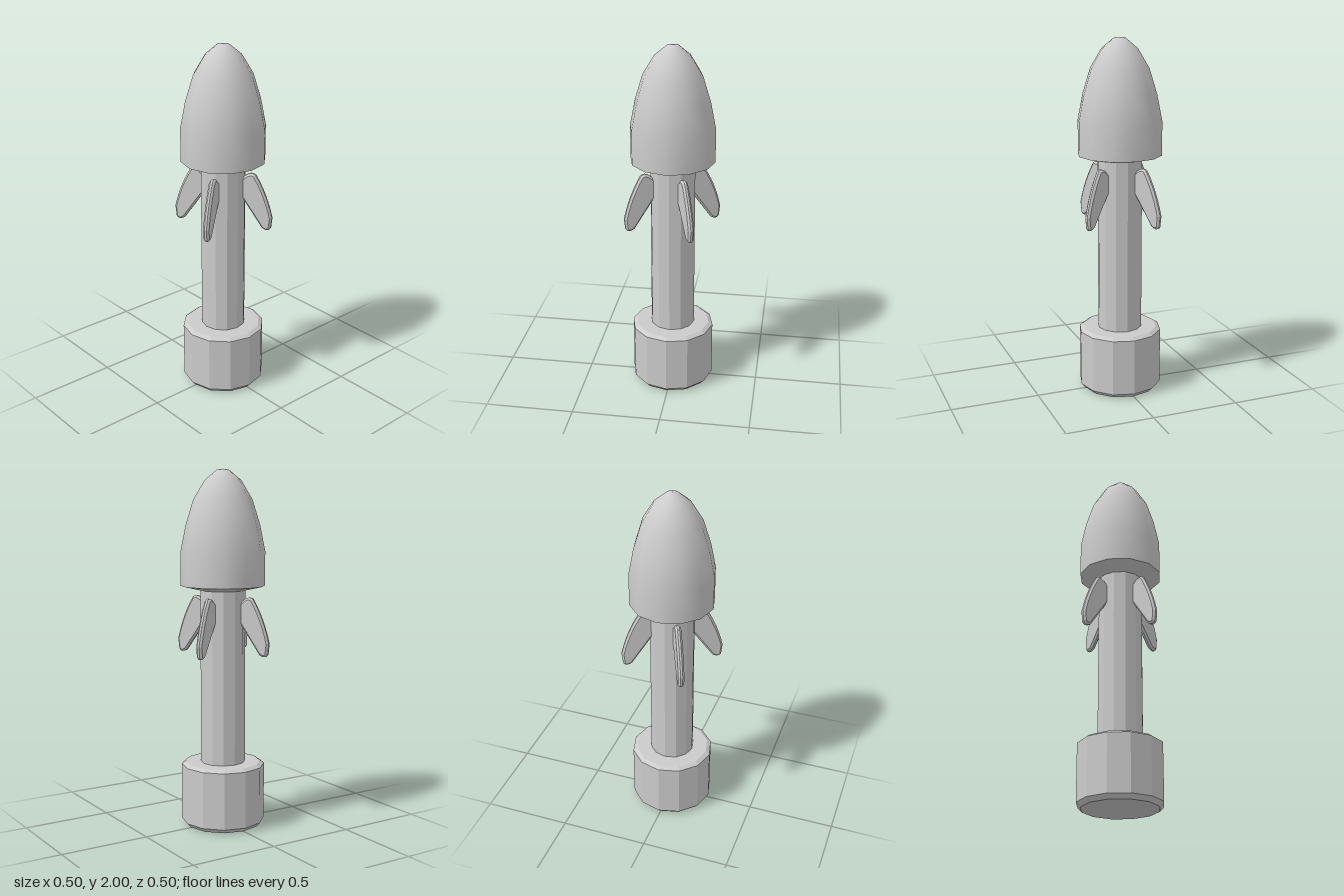
import * as THREE from 'three';

const SIDES = 12;
const TURN = -0.015; // slight twist of the facets about the axis

const smooth = new THREE.MeshStandardMaterial({ color: 0xcccccc });
const flat = new THREE.MeshStandardMaterial({ color: 0xcccccc, flatShading: true });

// Twelve-sided turned part from [radius, height] pairs, bottom to top
function turned(name, profile, material) {
  const points = profile.map(([r, y]) => new THREE.Vector2(r, y));
  const mesh = new THREE.Mesh(new THREE.LatheGeometry(points, SIDES, TURN), material);
  mesh.name = name;
  return mesh;
}

// Swept-back blade with bevelled edges, lying in the radius/height plane
function finGeometry() {
  const bevel = 0.011;
  const depth = 0.012;
  const shape = new THREE.Shape();
  shape.moveTo(0.08, 1.17);
  shape.lineTo(0.125, 1.155);
  shape.quadraticCurveTo(0.17, 1.09, 0.237, 0.995);
  shape.quadraticCurveTo(0.262, 0.98, 0.269, 0.995);
  shape.lineTo(0.275, 1.05);
  shape.quadraticCurveTo(0.245, 1.18, 0.18, 1.285);
  shape.quadraticCurveTo(0.16, 1.3, 0.125, 1.265);
  shape.lineTo(0.08, 1.25);
  shape.closePath();
  const geometry = new THREE.ExtrudeGeometry(shape, {
    depth, bevelEnabled: true, bevelSize: bevel, bevelThickness: bevel,
    bevelSegments: 1, curveSegments: 6,
  });
  geometry.translate(0, 0, -depth / 2);
  return geometry;
}

export function createModel() {
  const model = new THREE.Group();
  model.name = 'finnedRocket';

  // Chamfered base drum
  model.add(turned('base', [
    [0, 0], [0.212, 0], [0.235, 0.025], [0.235, 0.345], [0.212, 0.36], [0, 0.36],
  ], flat));

  // Slim shaft
  model.add(turned('shaft', [[0.125, 0.35], [0.125, 1.35]], flat));

  // Rounded nose with a shallow conical underside
  const head = new THREE.Group();
  head.name = 'head';
  head.add(turned('headUnderside', [[0, 1.335], [0.125, 1.335], [0.235, 1.36]], flat));
  head.add(turned('headShell', [
    [0.235, 1.36], [0.235, 1.55], [0.206, 1.695], [0.163, 1.835],
    [0.1, 1.94], [0.034, 1.995], [0, 2],
  ], smooth));
  model.add(head);

  // Four fins around the shaft
  const fin = finGeometry();
  for (let i = 0; i < 4; i++) {
    const mesh = new THREE.Mesh(fin, flat);
    mesh.name = `fin${i + 1}`;
    mesh.rotation.y = THREE.MathUtils.degToRad(29.5 + i * 90);
    model.add(mesh);
  }
  return model;
}
